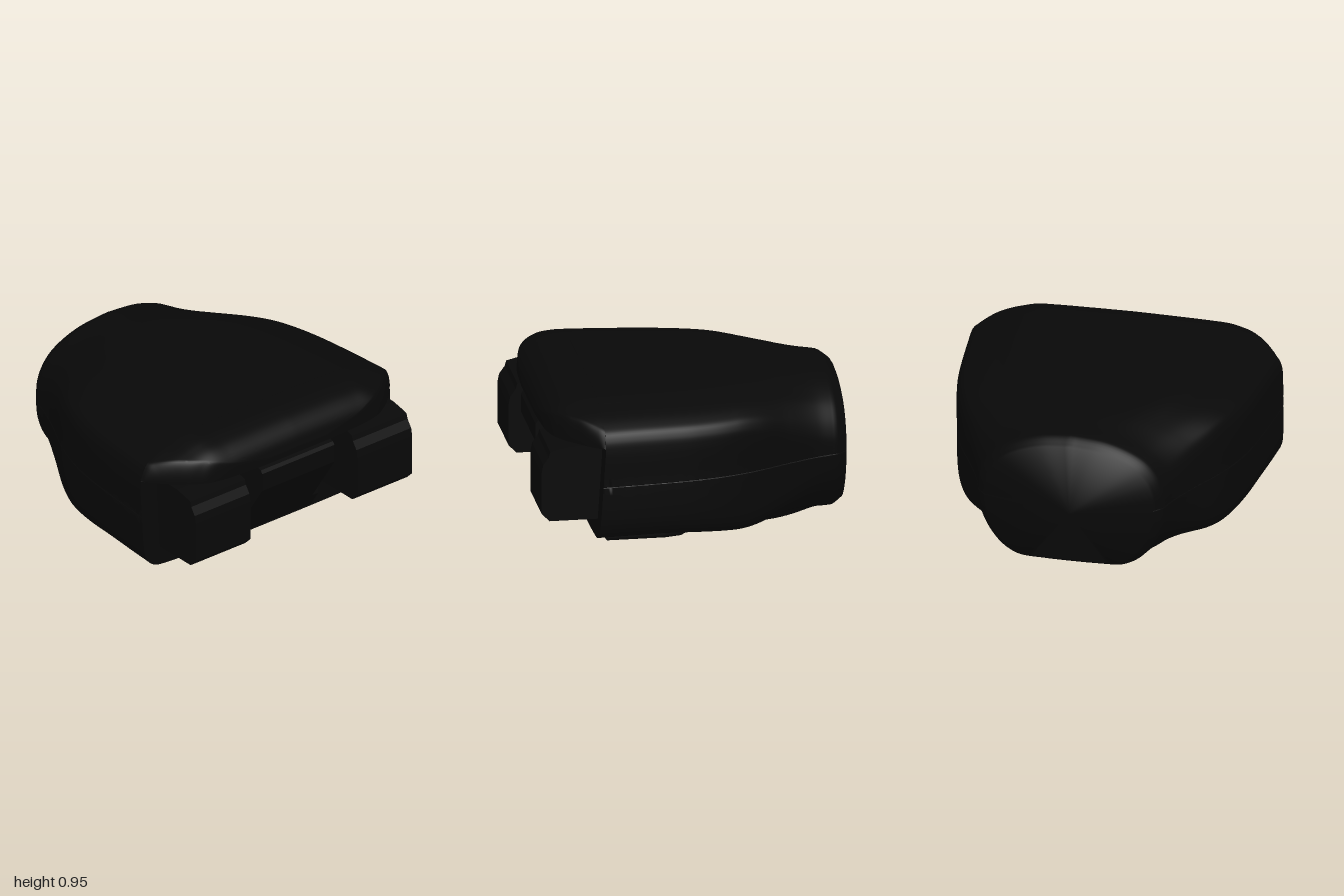
import * as THREE from 'three';
import { toCreasedNormals } from 'three/addons/utils/BufferGeometryUtils.js';

const material = new THREE.MeshStandardMaterial({ color: 0x080808 });
const { lerp, smoothstep, clamp } = THREE.MathUtils;

function addMesh(group, name, geometry) {
  const mesh = new THREE.Mesh(geometry, material);
  mesh.name = name;
  group.add(mesh);
}

// Smooth lookup in a table of [x, value, value...] rows
function table(rows) {
  const size = rows[0].length - 1;
  const curve = new THREE.CubicInterpolant(rows.map(r => r[0]), rows.flatMap(r => r.slice(1)), size, new Float32Array(size));
  return x => Array.from(curve.evaluate(x));
}

// Smooth half profile of [width, height] fractions
function profile(points, count) {
  return new THREE.CatmullRomCurve3(points.map(p => new THREE.Vector3(p[0], p[1], 0)))
    .getPoints(count).map(p => [p.x, p.y]);
}

// Width fraction to z: the rounded top edge keeps its own size
const spread = (k, w) => k > 0.62 ? w - 1 + k : k / 0.62 * (w - 0.38);

// Skin closed rings of [x, y, z] along x, with both ends capped
function loft(rings) {
  const n = rings[0].length, position = rings.flat(2), index = [];
  for (let i = 0; i < rings.length - 1; i++) {
    for (let j = 0; j < n; j++) {
      const a = i * n + j, b = i * n + (j + 1) % n;
      index.push(a, a + n, b, b, a + n, b + n);
    }
  }
  [0, rings.length - 1].forEach((r, end) => {
    const center = position.length / 3;
    const sum = rings[r].reduce((s, p) => s.map((v, k) => v + p[k] / n), [0, 0, 0]);
    position.push(...sum);
    for (let j = 0; j < n; j++) {
      const a = r * n + j, b = r * n + (j + 1) % n;
      if (end) index.push(center, b, a); else index.push(center, a, b);
    }
  });
  const geometry = new THREE.BufferGeometry();
  geometry.setAttribute('position', new THREE.Float32BufferAttribute(position, 3));
  geometry.setIndex(index);
  return toCreasedNormals(geometry, 1);
}

// Mirror a +z half ring (bottom centre to top centre) to a full ring
const mirrorRing = half => half.concat(half.slice(1, -1).reverse().map(([x, y, z]) => [x, y, -z]));

// Side profile in x and y, extruded from z0 to z1
function prism(points, z0, z1) {
  const shape = new THREE.Shape(points.map(p => new THREE.Vector2(...p)));
  return new THREE.ExtrudeGeometry(shape, { depth: z1 - z0, bevelEnabled: false }).translate(0, 0, z0);
}

const SEAM = 0.465, LID = 0.718;

function bodyGeometry() {
  // x, half width, top, bottom
  const outline = table([
    [-0.99, 0.54, 0.85, 0.07], [-0.925, 0.592, 0.897, 0.032], [-0.9, 0.6, 0.902, 0.03],
    [-0.8, 0.632, 0.913, 0.03], [-0.6, 0.72, 0.935, 0.032], [-0.4, 0.82, 0.942, 0.04], [-0.2, 0.895, 0.944, 0.05],
    [0, 0.94, 0.946, 0.065], [0.2, 0.965, 0.949, 0.078], [0.4, 0.983, 0.952, 0.08], [0.6, 1, 0.952, 0.08]]);
  // boxy section at the wide end, rounder one at the narrow end
  const upper = profile([[1, 0.01], [1, 0.52], [0.99, 0.62], [0.965, 0.71], [0.92, 0.77], [0.85, 0.835],
    [0.73, 0.91], [0.62, 0.97], [0.5, 0.985], [0.25, 0.995], [0, 1]], 40);
  const upperRound = profile([[1, 0.01], [0.985, 0.25], [0.92, 0.48], [0.8, 0.68], [0.62, 0.83], [0.35, 0.95], [0, 1]], 40);
  const floor = Array.from({ length: 45 }, (_, i) => [0.83 * i / 45, 1 - 0.035 * (i / 45) ** 4]);
  const lower = floor.concat(
    profile([[0.83, 0.965], [0.9, 0.94], [0.95, 0.87], [0.985, 0.72], [0.997, 0.5], [1, 0.01]], 20));
  const lowerRound = profile([[0, 1], [0.3, 1], [0.55, 0.98], [0.67, 0.91], [0.79, 0.77], [0.91, 0.52],
    [0.98, 0.25], [1, 0.01]], lower.length - 1);
  const rings = [], steps = 110;
  for (let i = 0; i <= steps; i++) {
    const x = lerp(-0.99, 0.6, i / steps);
    const [w, top, bottom] = outline(x);
    const round = 1 - smoothstep(x, -1, -0.25);
    const half = [
      ...lower.map(([k, t], j) => [w * lerp(k, lowerRound[j][0], round),
        lerp(SEAM, bottom, lerp(t, lowerRound[j][1], round))]),
      [w - 0.005, SEAM],
      ...upper.map(([k, t], j) => [lerp(spread(k, w), upperRound[j][0] * w, round),
        lerp(SEAM, top, lerp(t, upperRound[j][1], round))])
    ].map(([z, y]) => {
      // round foot with a bowl-shaped hollow
      const r = Math.hypot(x + 0.38, z);
      if (y < 0.2 && r < 0.59) {
        y = lerp(y, 0.008 - 0.018 * x, 1 - smoothstep(r, 0.49, 0.58));
        if (r < 0.45) y += 0.13 * Math.sqrt(1 - (r / 0.45) ** 2);
      }
      // front wall leans out towards the chin
      const lean = 0.04 * smoothstep(x, 0.4, 0.6) * clamp((0.7 - y) / 0.62, 0, 1);
      return [x + lean, y, z];
    });
    rings.push(mirrorRing(half));
  }
  return loft(rings);
}

function lidGeometry() {
  // x, half width, top
  const outline = table([[0.6, 1, 0.952], [0.63, 0.98, 0.951], [0.75, 0.87, 0.935], [0.85, 0.745, 0.895],
    [0.9, 0.63, 0.845], [0.92, 0.5, 0.805], [0.932, 0.28, 0.76]]);
  // z, drop of the crown towards the sides
  const crown = table([[0, 0], [0.25, 0.003], [0.5, 0.008], [0.62, 0.015], [0.73, 0.044], [0.85, 0.08],
    [0.92, 0.112], [0.965, 0.141], [0.99, 0.185], [1, 0.234]]);
  const rings = [], steps = 40, across = 48;
  for (let i = 0; i <= steps; i++) {
    const x = lerp(0.6, 0.932, Math.sin(i / steps * Math.PI / 2));
    const [w, top] = outline(x);
    const half = [[x, LID, 0]];
    for (let j = across; j >= 0; j--) {
      const z = w * Math.sin(j / across * Math.PI / 2);
      const edge = clamp((w - z) / 0.06, 0, 1);
      const height = Math.max(top - crown(z)[0] - LID, 0);
      half.push([x, LID + height * Math.sqrt(1 - (1 - edge) ** 2), z]);
    }
    rings.push(mirrorRing(half));
  }
  return loft(rings);
}

export function createModel() {
  const group = new THREE.Group();
  addMesh(group, 'body', bodyGeometry());
  addMesh(group, 'lidOverhang', lidGeometry());

  // Base plate under the body, with a rounded rim
  const plateShape = new THREE.Shape([[0.555, -0.815], [0.555, 0.815], [0.2, 0.815], [0.1, 0.79], [0.03, 0.7],
    [0.03, -0.7], [0.1, -0.79], [0.2, -0.815]].map(p => new THREE.Vector2(...p)));
  const plate = new THREE.ExtrudeGeometry(plateShape, {
    depth: 0.03, bevelThickness: 0.02, bevelSize: 0.02, bevelSegments: 4
  });
  plate.rotateX(Math.PI / 2).translate(0, 0.105, 0);
  addMesh(group, 'basePlate', plate);

  // Sloping wedge in the middle of the end opening
  addMesh(group, 'centerWedge', prism([[0.55, 0.1], [0.64, 0.09], [0.93, 0.54], [0.93, 0.66], [0.915, 0.68],
    [0.88, 0.69], [0.55, 0.7]], -0.29, 0.29));

  // Rounded end blocks and small ribs, one per side
  const block = [[0.55, 0.22], [0.935, 0.22], [0.985, 0.27], [0.985, 0.54], [0.975, 0.59], [0.94, 0.64],
    [0.93, 0.675], [0.87, 0.69], [0.8, 0.703], [0.55, 0.705]];
  const rib = [[0.55, 0.1], [0.64, 0.09], [0.71, 0.2], [0.68, 0.36], [0.55, 0.36]];
  for (const [side, s] of [['left', 1], ['right', -1]]) {
    addMesh(group, side + 'EndBlock', prism(block, s > 0 ? 0.43 : -0.87, s > 0 ? 0.87 : -0.43));
    addMesh(group, side + 'Rib', prism(rib, s > 0 ? 0.28 : -0.34, s > 0 ? 0.34 : -0.28));
  }
  return group;
}
